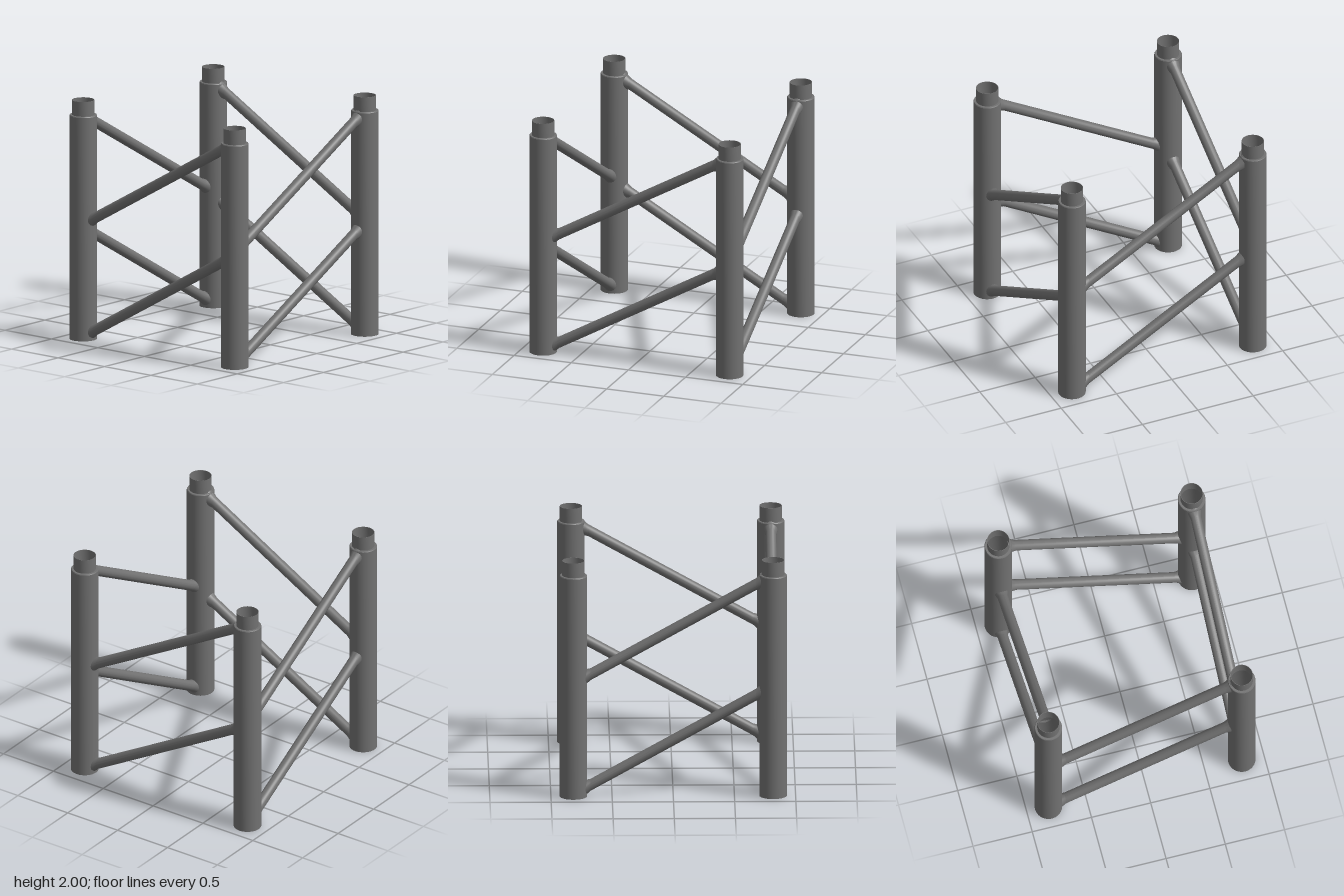
import * as THREE from 'three';
import { toCreasedNormals } from 'three/addons/utils/BufferGeometryUtils.js';

const C = 0.816; // post centre distance from the axes

const lathe = (points, segments) =>
  new THREE.LatheGeometry(points.map(([r, y]) => new THREE.Vector2(r, y)), segments);

// Thin-walled post with a chamfered shoulder and an open spigot on top
function postGeometry() {
  const g = lathe([
    [0.11, 0], [0.113, 0], [0.113, 1.87], [0.109, 1.877],
    [0.0915, 1.877], [0.0915, 2], [0.0885, 2],
    [0.0885, 1.872], [0.108, 1.872], [0.11, 1.868], [0.11, 0],
  ], 48);
  return toCreasedNormals(g, 0.5);
}

// Diagonal tube with flared weld ends, sheared so its ends stay upright
function braceGeometry() {
  const slope = 0.562;
  const g = lathe([
    [0.057, -0.725], [0.051, -0.7], [0.0435, -0.675],
    [0.0435, 0.675], [0.051, 0.7], [0.057, 0.725],
  ], 32);
  g.rotateZ(-Math.PI / 2);
  const p = g.attributes.position;
  for (let i = 0; i < p.count; i++) {
    p.setY(i, p.getY(i) * 1.14 + slope * p.getX(i));
  }
  return toCreasedNormals(g, 0.35);
}

export function createModel() {
  const model = new THREE.Group();
  model.name = 'towerSection';
  const material = new THREE.MeshStandardMaterial({ color: 0x717171, side: THREE.DoubleSide });
  const post = postGeometry();
  const brace = braceGeometry();

  // Each side carries one corner post and two parallel diagonals
  for (let i = 0; i < 4; i++) {
    const side = new THREE.Group();
    side.name = 'side' + (i + 1);
    side.rotation.y = i * Math.PI / 2;

    const postMesh = new THREE.Mesh(post, material);
    postMesh.name = 'cornerPost';
    postMesh.position.set(C, 0, C);
    side.add(postMesh);

    [['lowerBrace', 0.475], ['upperBrace', 1.415]].forEach(([name, y]) => {
      const mesh = new THREE.Mesh(brace, material);
      mesh.name = name;
      mesh.position.set(0, y, C);
      side.add(mesh);
    });
    model.add(side);
  }
  return model;
}
